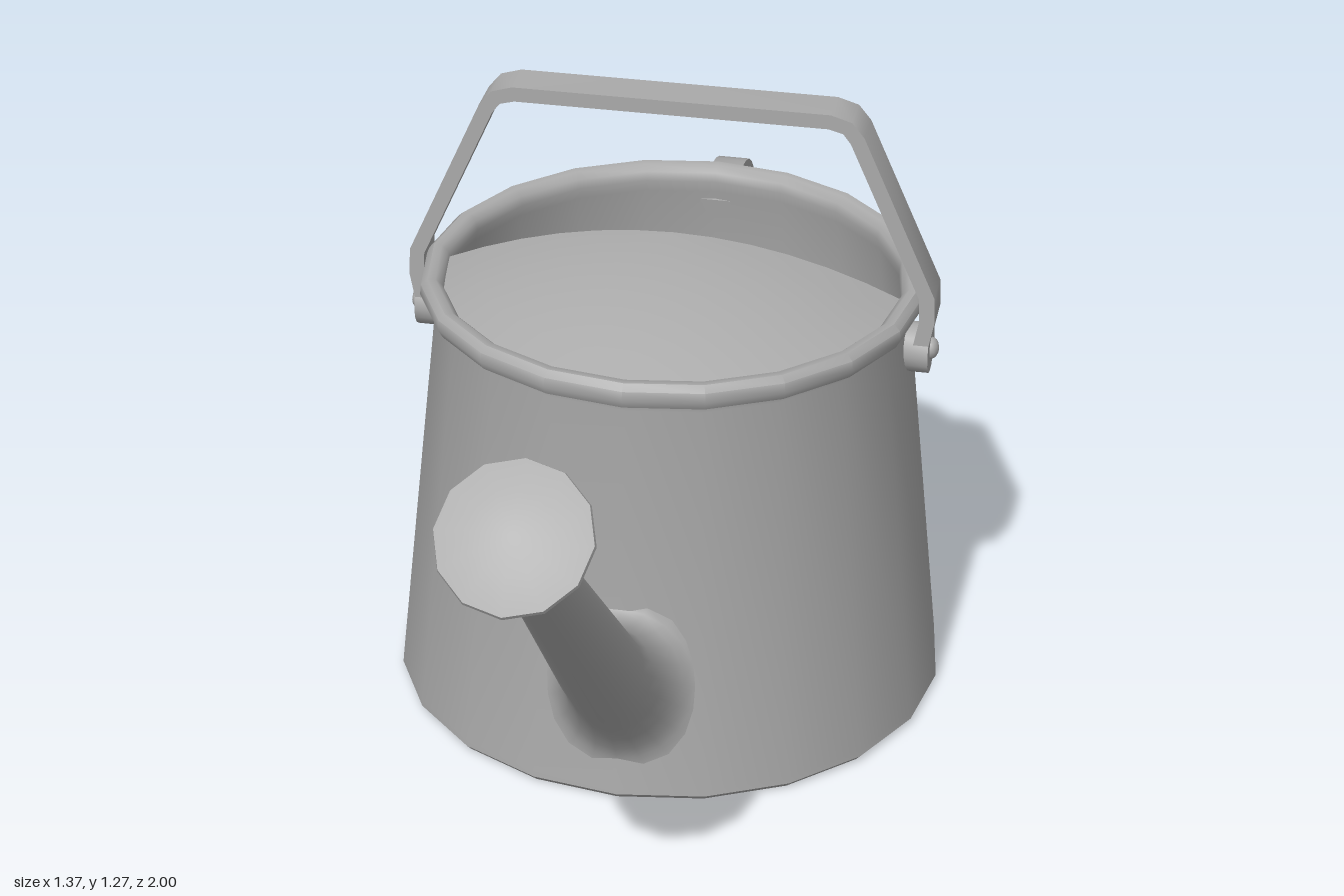
import * as THREE from 'three';
import { toCreasedNormals } from 'three/addons/utils/BufferGeometryUtils.js';

const metal = new THREE.MeshStandardMaterial({ color: 0xaaaaaa });
metal.name = 'grey metal';
const waterBlue = new THREE.MeshStandardMaterial({ color: 0x508691 });
waterBlue.name = 'water teal';

const V2 = (x, y) => new THREE.Vector2(x, y);
const bodyRadius = (y) => 0.557 - 0.102 * y;

function mesh(name, geometry, material = metal) {
  const m = new THREE.Mesh(geometry, material);
  m.name = name;
  return m;
}

function lathe(points, sides, start = 0, length = Math.PI * 2, crease = 0.75) {
  const pts = points.map(([x, y]) => V2(x, y));
  return toCreasedNormals(new THREE.LatheGeometry(pts, sides, start, length), crease);
}

// Flat strip of metal following a path in the XY plane, centred on z = 0
function band(path, thickness, width) {
  const sides = [[], []];
  path.forEach((p, i) => {
    const a = path[Math.max(i - 1, 0)], b = path[Math.min(i + 1, path.length - 1)];
    const d1 = p.clone().sub(a).normalize(), d2 = b.clone().sub(p).normalize();
    const t = d1.add(d2).normalize();
    const n = V2(-t.y, t.x).multiplyScalar(thickness / 2);
    sides[0].push(p.clone().add(n));
    sides[1].unshift(p.clone().sub(n));
  });
  const shape = new THREE.Shape([...sides[0], ...sides[1]]);
  const geo = new THREE.ExtrudeGeometry(shape, { depth: width, bevelEnabled: false });
  return toCreasedNormals(geo.translate(0, 0, -width / 2), 0.7);
}

// Tapered spout whose foot flares smoothly into the body wall
function spoutGeometry() {
  const n = 20, s = Math.SQRT1_2, rings = [];
  const onBody = (a, rx, ry) => {
    const x = rx * Math.cos(a), y = 0.25 + ry * Math.sin(a);
    const r = bodyRadius(y) - 0.006;
    return new THREE.Vector3(x, y, Math.sqrt(r * r - x * x));
  };
  const onTube = (a, d, r) => new THREE.Vector3(
    r * Math.cos(a), d - 0.3 + r * s * Math.sin(a), d - r * s * Math.sin(a));
  const ring = (f) => rings.push(Array.from({ length: n }, (_, j) => f((j / n) * Math.PI * 2)));
  for (let i = 0; i <= 6; i++) {
    ring((a) => new THREE.QuadraticBezierCurve3(
      onBody(a, 0.17, 0.18), onBody(a, 0.095, 0.125), onTube(a, 0.7, 0.083)).getPoint(i / 6));
  }
  ring((a) => onTube(a, 1.0, 0.069));
  ring((a) => onTube(a, 1.33, 0.054));
  const index = [];
  for (let i = 0; i < rings.length - 1; i++) {
    for (let j = 0; j < n; j++) {
      const a = i * n + j, b = i * n + (j + 1) % n;
      index.push(a, b, a + n, b, b + n, a + n);
    }
  }
  const geo = new THREE.BufferGeometry().setFromPoints(rings.flat());
  geo.setIndex(index);
  geo.computeVertexNormals();
  return geo;
}

export function createModel() {
  const can = new THREE.Group();
  can.name = 'wateringCan';

  // Tapered body with rolled rim and inner wall
  can.add(mesh('body', lathe([
    [0, 0], [0.545, 0], [0.556, 0.012], [0.555, 0.025], [0.472, 0.83], [0.474, 0.842],
    [0.492, 0.848], [0.501, 0.865], [0.499, 0.885], [0.486, 0.897], [0.47, 0.896],
    [0.457, 0.884], [0.453, 0.865], [0.46, 0.84], [0.478, 0.64],
  ], 20)));

  // Water surface
  const water = mesh('water', new THREE.CircleGeometry(0.474, 20), waterBlue);
  water.rotation.x = -Math.PI / 2;
  water.position.y = 0.69;
  can.add(water);

  // Domed half cover on the spout side, with its upright edge
  const lidY = (x) => 0.87 + 0.103 * (1 - (x / 0.46) ** 2);
  const top = [], under = [];
  for (let i = 0; i <= 6; i++) {
    const x = 0.46 * (1 - i / 6);
    top.push([x, lidY(x)]);
    under.unshift([x, lidY(x) - 0.04]);
  }
  const half = Math.PI / 2;
  can.add(mesh('halfCover', lathe([...top, ...under], 16, -half, Math.PI)));
  const arc = [];
  for (let i = -8; i <= 8; i++) arc.push(V2(0.0575 * i, lidY(0.0575 * i)));
  const lower = arc.map((p) => V2(p.x, p.y - 0.04)).reverse();
  const edge = mesh('coverEdge', new THREE.ShapeGeometry(new THREE.Shape([...arc, ...lower])));
  edge.rotation.y = Math.PI;
  can.add(edge);

  // Carrying handle across the top
  const leg = [[0.495, 0.76], [0.512, 0.85], [0.51, 0.9], [0.365, 1.225], [0.345, 1.25], [0.31, 1.26]];
  const carryPath = [
    ...leg.map(([x, y]) => V2(-x, y)),
    ...leg.slice().reverse().map(([x, y]) => V2(x, y)),
  ];
  can.add(mesh('carryHandle', band(carryPath, 0.03, 0.085)));

  // Rounded tabs and rivets at the handle ends
  for (const side of [-1, 1]) {
    const tab = mesh('handleTab', toCreasedNormals(new THREE.CylinderGeometry(0.05, 0.05, 0.05, 16), 0.6));
    tab.rotation.z = half;
    tab.position.set(side * 0.492, 0.772, 0);
    const rivet = mesh('rivet', new THREE.SphereGeometry(0.022, 12, 8));
    rivet.scale.x = 0.7;
    rivet.position.set(side * 0.518, 0.772, 0);
    can.add(tab, rivet);
  }

  // Rear handle
  const rearPath = new THREE.SplineCurve([
    V2(0.46, 0.8), V2(0.58, 0.815), V2(0.67, 0.795), V2(0.735, 0.73), V2(0.762, 0.645),
    V2(0.74, 0.54), V2(0.63, 0.28), V2(0.53, 0.075),
  ]).getPoints(18);
  const rear = mesh('rearHandle', band(rearPath, 0.045, 0.065));
  rear.rotation.y = half;
  can.add(rear);

  // Spout and sprinkler head
  can.add(mesh('spout', spoutGeometry()));
  const head = mesh('sprinklerHead', lathe([
    [0.055, -0.13], [0.054, -0.1], [0.066, -0.07], [0.095, -0.045], [0.13, -0.025],
    [0.14, -0.008], [0.138, 0], [0.075, 0.016], [0, 0.022],
  ], 12));
  head.rotation.x = Math.PI / 4;
  head.position.set(0, 1.09, 1.385);
  can.add(head);

  // Turn the spout towards the front left and centre the whole
  can.rotation.y = Math.PI / 6;
  can.position.set(-0.13, 0.004, -0.32);
  const model = new THREE.Group();
  model.add(can);
  return model;
}
